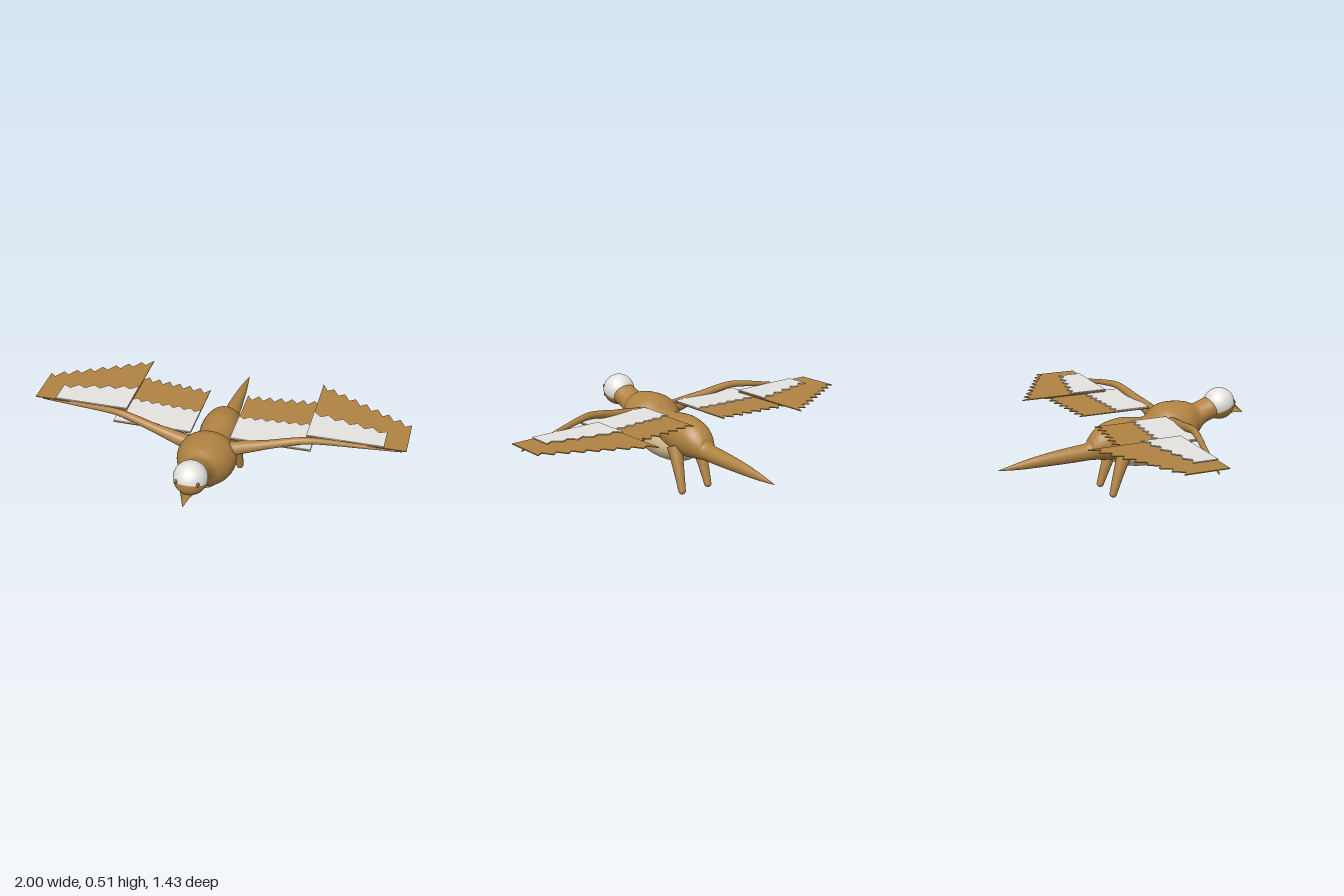
import * as THREE from 'three';

const mat = (name, color) => {
  const m = new THREE.MeshStandardMaterial({ color });
  m.name = name;
  return m;
};

export function createModel() {
  const brown = mat('brown plumage', 0xb08242);
  const white = mat('white plumage', 0xe4e2de);
  const cream = mat('cream belly', 0xd8bf90);
  const eyeBrown = mat('eye brown', 0x8a5a2a);

  const bird = new THREE.Group();
  bird.name = 'bird';
  const add = (name, geo, m, x = 0, y = 0, z = 0) => {
    const mesh = new THREE.Mesh(geo, m);
    mesh.name = name;
    mesh.position.set(x, y, z);
    bird.add(mesh);
    return mesh;
  };

  // Smooth skin over elliptical cross-sections [z, top, bottom, half width]
  const loft = (sections, rings = 110, sides = 40) => {
    const heights = new THREE.CatmullRomCurve3(
      sections.map(([z, t, b]) => new THREE.Vector3(z, (t + b) / 2, (t - b) / 2)), false, 'catmullrom');
    const widths = new THREE.CatmullRomCurve3(
      sections.map(([z, , , w]) => new THREE.Vector3(z, w, 0)), false, 'catmullrom');
    const pos = [], index = [];
    for (let i = 0; i <= rings; i++) {
      const h = heights.getPoint(i / rings), w = widths.getPoint(i / rings).y;
      for (let j = 0; j < sides; j++) {
        const a = (j / sides) * Math.PI * 2;
        pos.push(w * Math.cos(a), h.y + h.z * Math.sin(a), h.x);
        if (i === rings) continue;
        const p = i * sides + j, q = i * sides + (j + 1) % sides;
        index.push(p, p + sides, q, q, p + sides, q + sides);
      }
    }
    const geo = new THREE.BufferGeometry();
    geo.setAttribute('position', new THREE.Float32BufferAttribute(pos, 3));
    geo.setIndex(index);
    geo.computeVertexNormals();
    return geo;
  };

  // Tube whose radius follows evenly spaced values
  const taperedTube = (points, radii, segments = 40, sides = 16) => {
    const curve = new THREE.CatmullRomCurve3(points.map((p) => new THREE.Vector3(...p)));
    const geo = new THREE.TubeGeometry(curve, segments, 1, sides);
    const p = geo.attributes.position, v = new THREE.Vector3();
    for (let i = 0; i < p.count; i++) {
      const t = Math.floor(i / (sides + 1)) / segments;
      const f = t * (radii.length - 1), k = Math.min(Math.floor(f), radii.length - 2);
      const r = THREE.MathUtils.lerp(radii[k], radii[k + 1], f - k);
      const c = curve.getPointAt(t);
      v.fromBufferAttribute(p, i).sub(c).multiplyScalar(r).add(c);
      p.setXYZ(i, v.x, v.y, v.z);
    }
    return geo;
  };

  // Neck, chest, rump and long pointed tail
  add('body', loft([
    [0.55, 0.47, 0.345, 0.066], [0.5, 0.465, 0.338, 0.07], [0.45, 0.448, 0.312, 0.071],
    [0.41, 0.435, 0.262, 0.085], [0.37, 0.45, 0.22, 0.116], [0.33, 0.458, 0.198, 0.14],
    [0.28, 0.461, 0.186, 0.153], [0.23, 0.457, 0.19, 0.152], [0.18, 0.435, 0.215, 0.132],
    [0.14, 0.398, 0.245, 0.1], [0.1, 0.394, 0.23, 0.095], [0.05, 0.4, 0.205, 0.1],
    [-0.02, 0.405, 0.19, 0.105], [-0.08, 0.396, 0.187, 0.1], [-0.13, 0.38, 0.19, 0.09],
    [-0.17, 0.353, 0.195, 0.074], [-0.2, 0.32, 0.197, 0.056], [-0.22, 0.29, 0.197, 0.047],
    [-0.3, 0.28, 0.195, 0.042], [-0.4, 0.269, 0.194, 0.035], [-0.5, 0.254, 0.194, 0.027],
    [-0.6, 0.234, 0.195, 0.016], [-0.715, 0.205, 0.203, 0.001],
  ]), brown);

  // Pale belly bulging below the chest and rump
  const belly = new THREE.SphereGeometry(1, 40, 28).scale(0.098, 0.095, 0.235);
  add('belly', belly, cream, 0, 0.222, 0.125);

  // Head: white cap above, brown face below, divided by a tilted plane
  const split = 1.8, headR = 0.087;
  const cap = add('headCap', new THREE.SphereGeometry(headR, 40, 24, 0, Math.PI * 2, 0, split), white, 0, 0.423, 0.565);
  const face = add('lowerFace',
    new THREE.SphereGeometry(headR, 40, 16, 0, Math.PI * 2, split, Math.PI - split), brown, 0, 0.423, 0.565);
  cap.rotation.x = face.rotation.x = -0.38;

  // Beak, drooping slightly to its tip
  add('beak', loft([
    [0.6, 0.44, 0.352, 0.046], [0.64, 0.428, 0.358, 0.034], [0.665, 0.405, 0.361, 0.023],
    [0.69, 0.382, 0.357, 0.012], [0.714, 0.358, 0.352, 0.001],
  ], 24, 24), brown);

  // Thin feather plate: straight front edge and saw-toothed back edge
  const feathers = (name, m, s, y, [x0, x1], front, [back0, back1], teeth, notch) => {
    const pts = [new THREE.Vector2(s * x0, -front)];
    for (let i = 0; i <= teeth * 2; i++) {
      const t = i / (teeth * 2);
      const z = THREE.MathUtils.lerp(back0, back1, t) + (i % 2 ? notch : 0);
      pts.push(new THREE.Vector2(s * THREE.MathUtils.lerp(x0, x1, t), -z));
    }
    pts.push(new THREE.Vector2(s * x1, -front));
    const geo = new THREE.ExtrudeGeometry(new THREE.Shape(pts), { depth: 0.005, bevelEnabled: false });
    add(name, geo.rotateX(-Math.PI / 2), m, 0, y, 0);
  };

  for (const [side, s] of [['left', 1], ['right', -1]]) {
    // Eye
    add(side + 'Eye', new THREE.SphereGeometry(1, 16, 12).scale(0.008, 0.013, 0.009), eyeBrown, s * 0.054, 0.435, 0.629);

    // Wing arm bending at the elbow
    add(side + 'WingArm', taperedTube([
      [s * 0.08, 0.365, 0.225], [s * 0.28, 0.41, 0.2], [s * 0.48, 0.449, 0.165],
      [s * 0.55, 0.447, 0.148], [s * 0.75, 0.42, 0.1], [s * 0.975, 0.388, 0.05],
    ], [0.042, 0.024, 0.018, 0.012, 0.003]), brown);

    // Layered flight feathers and coverts
    feathers(side + 'InnerFlightFeathers', brown, s, 0.406, [0.105, 0.525], 0.19, [-0.22, -0.265], 7, 0.04);
    feathers(side + 'InnerCoverts', white, s, 0.413, [0.105, 0.525], 0.19, [-0.015, -0.04], 7, 0.025);
    feathers(side + 'OuterFlightFeathers', brown, s, 0.419, [0.485, 1], 0.09, [-0.41, -0.145], 8, 0.04);
    feathers(side + 'OuterCoverts', white, s, 0.428, [0.485, 0.885], 0.09, [-0.13, -0.045], 5, 0.03);

    // Leg sloping back to a rounded foot
    add(side + 'Leg', taperedTube([
      [s * 0.078, 0.25, -0.03], [s * 0.084, 0.14, -0.07], [s * 0.09, 0.02, -0.108],
    ], [0.042, 0.03, 0.02], 16), brown);
    add(side + 'Foot', new THREE.SphereGeometry(0.02, 16, 12), brown, s * 0.09, 0.02, -0.108);
  }

  return bird;
}
